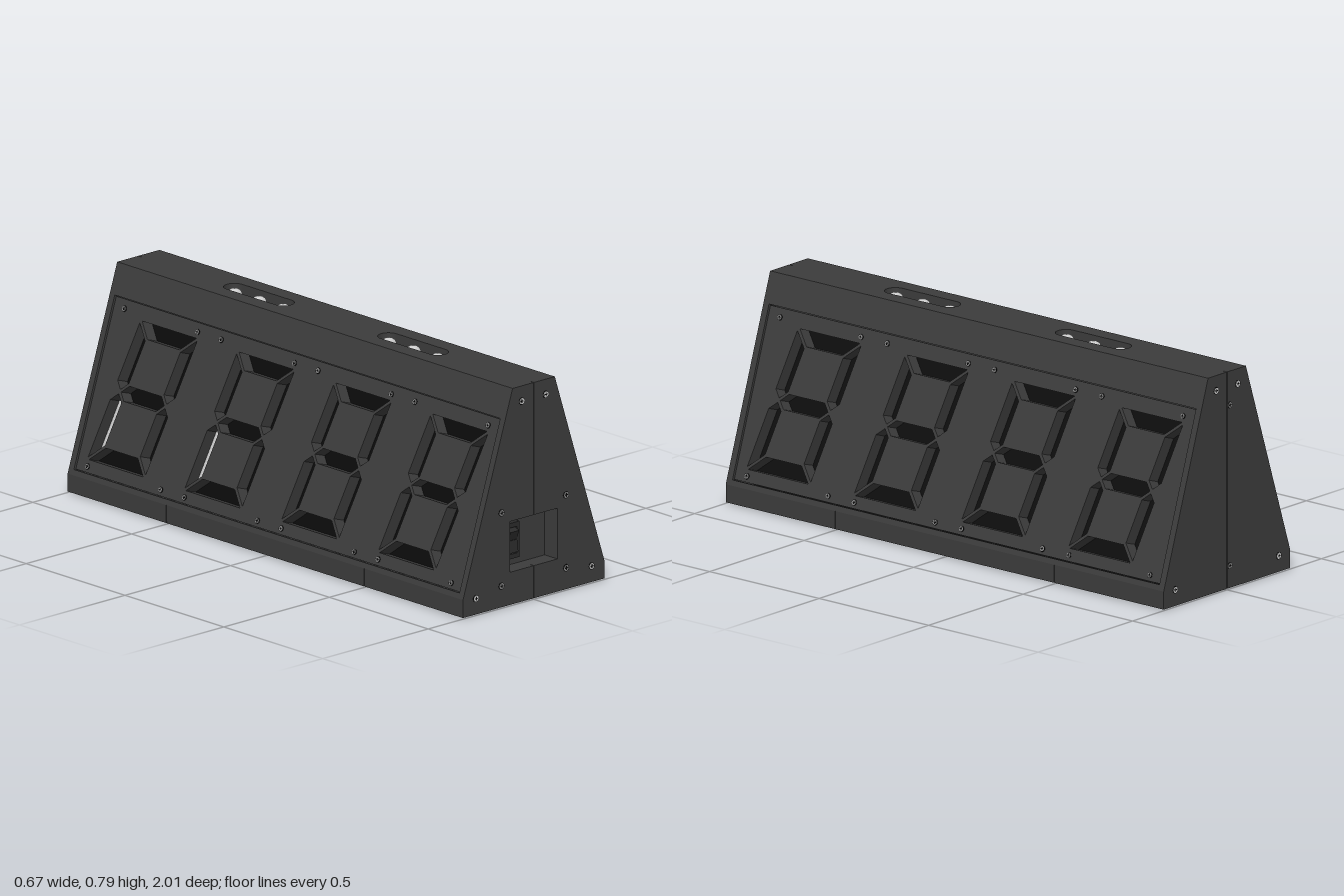
import * as THREE from 'three';

const mat = (color) => new THREE.MeshStandardMaterial({ color });
const shellMat = mat(0x3c3c3c), blackMat = mat(0x0a0a0a), switchMat = mat(0x2a2a2a);
const lightMat = mat(0xcccccc), steelMat = mat(0x808080), plateMat = mat(0x666666);

function add(parent, name, geo, material, x = 0, y = 0, z = 0) {
  const m = new THREE.Mesh(geo, material);
  m.name = name;
  m.position.set(x, y, z);
  parent.add(m);
  return m;
}
const box = (w, h, d) => new THREE.BoxGeometry(w, h, d);
const poly = (pts) => new THREE.Shape(pts.map(([x, y]) => new THREE.Vector2(x, y)));
const rect = (x0, y0, x1, y1) => poly([[x0, y0], [x1, y0], [x1, y1], [x0, y1]]);
const extrude = (shape, depth, holes = []) => {
  shape.holes.push(...holes);
  return new THREE.ExtrudeGeometry(shape, { depth, bevelEnabled: false, curveSegments: 16 });
};

// Cross-head screw in a dark counterbore, facing +z
function screw(parent, x, y, z, r, material) {
  const g = new THREE.Group();
  g.name = 'screw';
  g.position.set(x, y, z);
  const disc = (rad, h) => new THREE.CylinderGeometry(rad, rad, h, 16).rotateX(Math.PI / 2);
  add(g, 'counterbore', disc(r * 1.2, 0.002), blackMat);
  add(g, 'head', disc(r, 0.004), material);
  add(g, 'slot', box(r * 1.2, r * 0.3, 0.006), blackMat);
  add(g, 'slot', box(r * 0.3, r * 1.2, 0.006), blackMat);
  parent.add(g);
}

// Seven slanted segment outlines, centred on the digit
function digitSegments() {
  const W = 0.145, H = 0.258, t = 0.056, g = 0.008, slant = 0.19;
  const bar = [[-W + g, H], [W - g, H], [W - t - g, H - t], [-W + t + g, H - t]];
  const side = [[W, H - g], [W, t / 2 + g], [W - t / 2, g], [W - t, t / 2 + g], [W - t, H - t - g]];
  const a = W - t / 2 - g, b = W - t - g;
  const middle = [[a, 0], [b, t / 2], [-b, t / 2], [-a, 0], [-b, -t / 2], [b, -t / 2]];
  const flip = (p, sx, sy) => p.map(([x, y]) => [x * sx, y * sy]);
  return [bar, flip(bar, 1, -1), middle, side, flip(side, -1, 1), flip(side, 1, -1), flip(side, -1, -1)]
    .map((p) => p.map(([x, y]) => [x + slant * y, y]));
}

const digitCentres = [-0.735, -0.245, 0.245, 0.735];
const slopeLength = Math.hypot(0.235, 0.717);

// Sloping display face: x along the face, y up the slope, z outward
function displaySide() {
  const g = new THREE.Group();
  const frame = rect(-0.985, 0, 0.985, slopeLength);
  add(g, 'displayFrame', extrude(frame, 0.03, [rect(-0.975, 0.02, 0.975, 0.642)]), shellMat, 0, 0, -0.03);
  const holes = [];
  for (const c of digitCentres)
    for (const s of digitSegments()) holes.push(poly(s.map(([x, y]) => [x + c, y + 0.326])));
  add(g, 'displayPanel', extrude(rect(-0.972, 0.023, 0.972, 0.639), 0.049, holes), shellMat, 0, 0, -0.055);
  for (const c of digitCentres)
    for (const dx of [-0.185, 0.185])
      for (const y of [0.044, 0.606]) screw(g, c + dx, y, -0.005, 0.009, steelMat);
  const v = new THREE.Vector3(-0.235, 0.717, 0).normalize();
  const u = new THREE.Vector3(0, 0, -1);
  g.applyMatrix4(new THREE.Matrix4().makeBasis(u, v, u.clone().cross(v)).setPosition(0.335, 0.065, 0));
  return g;
}

// End cap in two halves with a fine seam; the front one has a switch opening
function endCap(open) {
  const g = new THREE.Group(), s = 0.0015;
  const pts = [[s, 0], [0.335, 0], [0.335, 0.065], [0.1, 0.782], [s, 0.782]];
  if (open) pts.push([s, 0.302], [0.113, 0.302], [0.113, 0.118], [s, 0.118]);
  for (const k of [1, -1]) {
    add(g, 'endCapHalf', extrude(poly(pts.map(([x, y]) => [x * k, y])), 0.015), shellMat, 0, 0, 0.985);
    screw(g, k * 0.057, 0.727, 1, 0.011, lightMat);
    screw(g, k * 0.274, 0.058, 1, 0.011, lightMat);
    if (open) for (const y of [0.077, 0.342]) screw(g, k * 0.153, y, 1, 0.011, steelMat);
  }
  if (!open) for (const y of [0.08, 0.66]) screw(g, 0.015, y, 1, 0.01, steelMat);
  return g;
}

function rockerSwitch() {
  const g = new THREE.Group();
  const liner = rect(-0.118, 0.113, 0.118, 0.307);
  add(g, 'switchRecessWalls', extrude(liner, 0.055, [rect(-0.113, 0.118, 0.113, 0.302)]), shellMat, 0, 0, 0.93);
  add(g, 'switchRecessFloor', box(0.236, 0.194, 0.01), shellMat, 0, 0.21, 0.93);
  const bezel = rect(-0.09, 0.145, -0.025, 0.275);
  add(g, 'switchBezel', extrude(bezel, 0.02, [rect(-0.079, 0.162, -0.036, 0.258)]), switchMat, 0, 0, 0.934);
  for (const k of [1, -1]) {
    const half = add(g, 'rocker', box(0.04, 0.044, 0.03), switchMat, -0.0575, 0.21 + k * 0.021, 0.945);
    half.rotation.x = k > 0 ? 0.35 : -0.12;
  }
  return g;
}

// Capsule outline running along y
function capsule(cy, halfLength, r) {
  const p = new THREE.Path();
  p.absarc(0, cy + halfLength - r, r, 0, Math.PI);
  p.absarc(0, cy - halfLength + r, r, Math.PI, Math.PI * 2);
  p.closePath();
  return p;
}

function topDeck() {
  const g = new THREE.Group();
  const slots = [-0.39, 0.39].map((c) => capsule(c, 0.162, 0.038));
  const deck = extrude(rect(-0.1, -0.985, 0.1, 0.985), 0.045, slots).rotateX(-Math.PI / 2);
  add(g, 'topDeck', deck, shellMat, 0, 0.737, 0);
  // Domed push buttons
  const profile = [[0, 0.04], [0.013, 0.038], [0.023, 0.031], [0.027, 0.022], [0.027, 0.01], [0.033, 0.01], [0.033, 0]]
    .reverse().map(([x, y]) => new THREE.Vector2(x, y));
  const button = new THREE.LatheGeometry(profile, 24);
  for (const c of [-0.39, 0.39])
    for (const d of [-0.123, 0, 0.123]) add(g, 'button', button, lightMat, 0, 0.736, c + d);
  return g;
}

function base() {
  const g = new THREE.Group();
  // Three floor sections with fine seams
  for (const [z, len] of [[-0.7435, 0.483], [0, 0.997], [0.7435, 0.483]])
    add(g, 'baseSection', box(0.67, 0.065, len), shellMat, 0, 0.0325, z);
  add(g, 'baseCore', box(0.664, 0.058, 1.96), shellMat, 0, 0.034, 0);
  // Underside: hatch with two ears, and screws
  const under = new THREE.Group();
  under.name = 'underside';
  under.rotation.x = Math.PI / 2;
  add(under, 'hatch', box(0.3, 0.36, 0.004), plateMat, 0, 0, 0);
  for (const k of [1, -1]) {
    add(under, 'hatchEar', box(0.05, 0.044, 0.004), plateMat, k * 0.17, 0, 0);
    add(under, 'hatchEar', new THREE.CylinderGeometry(0.022, 0.022, 0.004, 20).rotateX(Math.PI / 2), plateMat, k * 0.195, 0, 0);
    screw(under, k * 0.195, 0, 0.001, 0.012, steelMat);
    for (const x of [-0.14, 0.14])
      for (const y of [0.4, 0.52]) screw(under, x, k * y, 0, 0.009, steelMat);
  }
  g.add(under);
  return g;
}

export function createModel() {
  const model = new THREE.Group();
  model.name = 'displayClock';
  const put = (name, part, turn = 0) => {
    const holder = new THREE.Group();
    holder.name = name;
    holder.rotation.y = turn;
    holder.add(part);
    model.add(holder);
  };
  put('leftDisplay', displaySide());
  put('rightDisplay', displaySide(), Math.PI);
  put('frontEnd', endCap(true));
  put('backEnd', endCap(false), Math.PI);
  put('powerSwitch', rockerSwitch());
  put('top', topDeck());
  put('base', base());

  // Dark inner core behind the openings
  const core = poly([[-0.277, 0.064], [0.277, 0.064], [0.0575, 0.738], [-0.0575, 0.738]]);
  add(model, 'innerCore', extrude(core, 1.907), blackMat, 0, 0, -0.982);

  // Pale diffusers in the lower segments of two right-hand digits
  for (const z of [-0.735, -0.245]) {
    const seg = digitSegments()[6].map(([x, y]) => [x * 0.99, y]);
    const u = new THREE.Vector3(0, 0, 1), v = new THREE.Vector3(0.235, 0.717, 0).normalize();
    const m = add(model, 'diffuser', extrude(poly(seg), 0.004), lightMat);
    m.applyMatrix4(new THREE.Matrix4().makeBasis(u, v, u.clone().cross(v)).setPosition(-0.335, 0.065, z));
    m.translateY(0.326).translateZ(-0.054);
  }
  return model;
}
